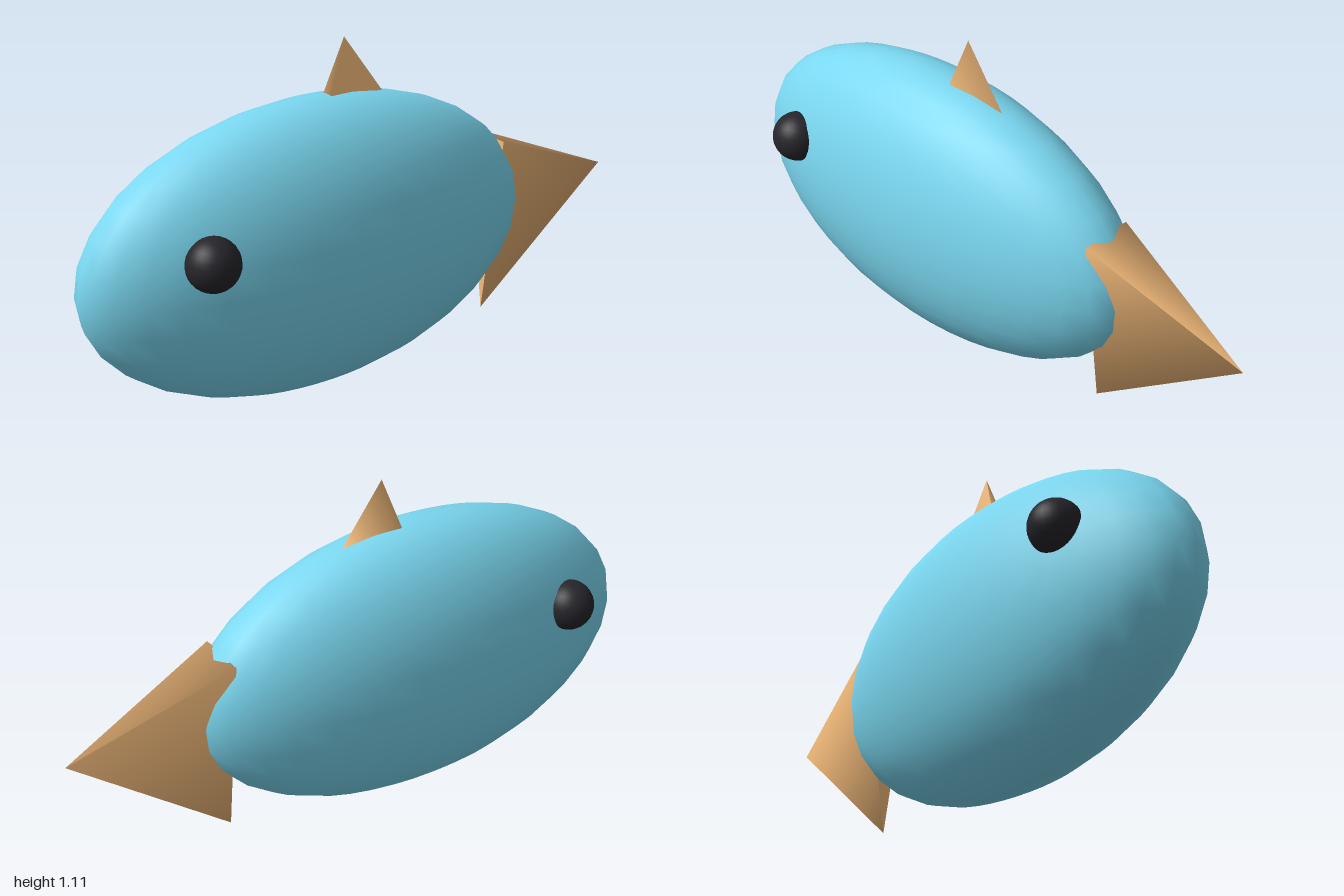
import * as THREE from 'three';

const paint = (color) => new THREE.MeshStandardMaterial({ color });

export function createModel() {
  const model = new THREE.Group();
  const skin = paint(0x7ad7f0);
  const finColor = paint(0xf6bd7c);
  const eyeColor = paint(0x25252b);

  function add(name, geometry, material, x, y, z) {
    const mesh = new THREE.Mesh(geometry, material);
    mesh.name = name;
    mesh.position.set(x, y, z);
    model.add(mesh);
    return mesh;
  }

  // Body: a sphere flattened sideways and stretched lengthwise
  const body = add('body', new THREE.SphereGeometry(1, 32, 16), skin, 0, 0.47, 0.207);
  body.scale.set(0.28, 0.47, 0.792);

  // Tail: thin three-sided cone pointing back, with one corner down
  const tailShape = new THREE.ConeGeometry(0.42, 0.52, 3)
    .rotateY(Math.PI).rotateX(-Math.PI / 2).scale(0.25, 1, 1);
  add('tailFin', tailShape, finColor, 0, 0.47, -0.74);

  // Dorsal fin: thin three-sided cone pointing up, with one corner to the back
  const dorsalShape = new THREE.ConeGeometry(0.153, 0.21, 3)
    .rotateY(Math.PI).scale(0.2, 1, 1);
  add('dorsalFin', dorsalShape, finColor, 0, 1, 0.083);

  // Eyes, half sunk into the sides
  const eyeShape = new THREE.SphereGeometry(0.082, 32, 16);
  for (const [name, side] of [['leftEye', 1], ['rightEye', -1]]) {
    add(name, eyeShape, eyeColor, side * 0.21, 0.592, 0.675);
  }

  return model;
}
